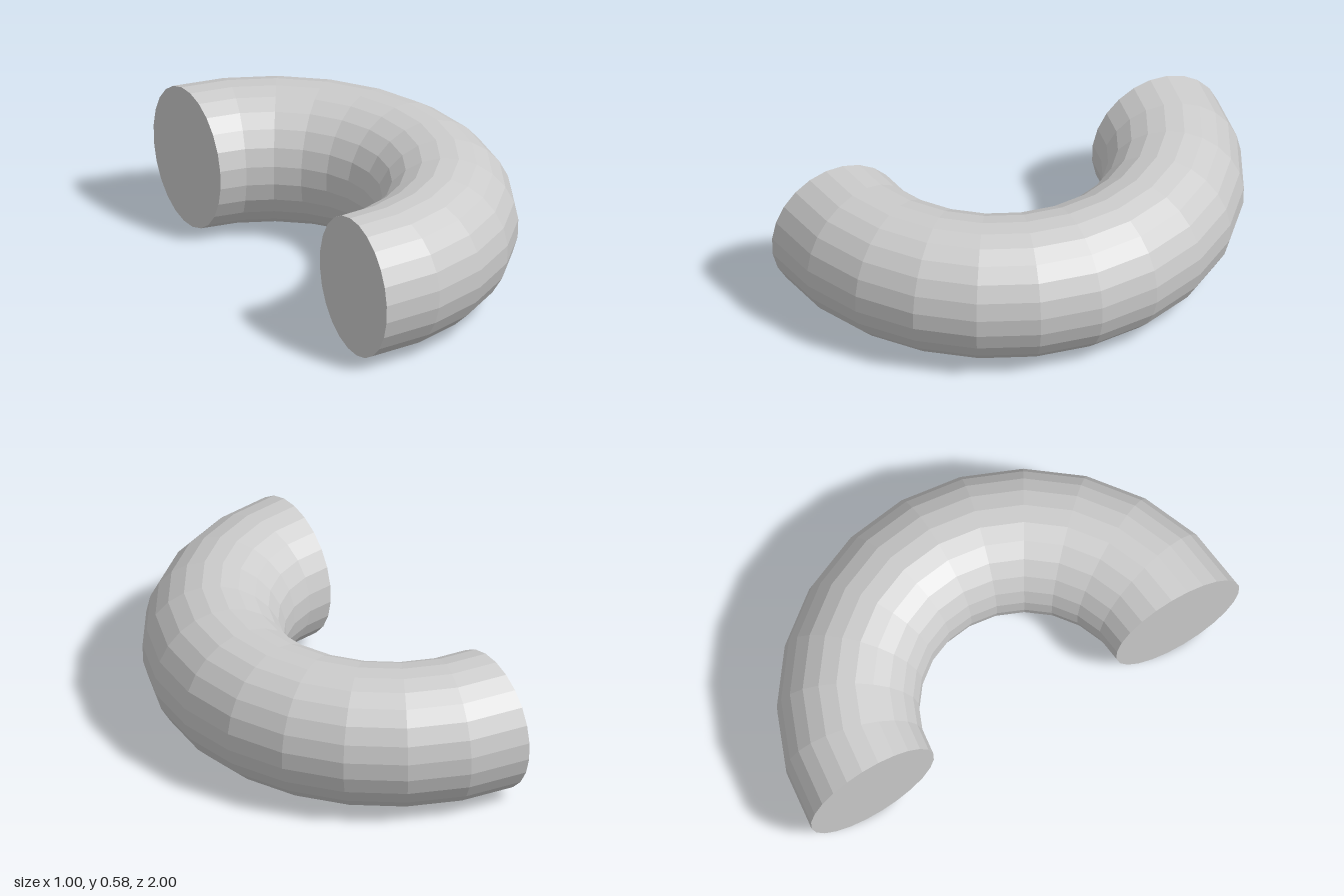
import * as THREE from 'three';

export function createModel() {
  const group = new THREE.Group();
  group.name = 'halfRing';
  const material = new THREE.MeshStandardMaterial({ color: 0xcccccc, flatShading: true });

  // Tube cross-section: 24 sides, slightly taller than wide
  const sides = 24, bendRadius = 0.713, rx = 0.288, ry = 0.2938, tilt = 0.096;
  const section = [];
  for (let i = 0; i <= sides; i++) {
    const a = tilt + (i / sides) * Math.PI * 2;
    section.push(new THREE.Vector2(bendRadius + rx * Math.cos(a), 0.2925 + ry * Math.sin(a)));
  }

  // Bent tube: half a turn in 12 steps
  const tube = new THREE.Mesh(new THREE.LatheGeometry(section, 12, 0, Math.PI), material);
  tube.name = 'bentTube';
  group.add(tube);

  // Flat caps on the two open ends, facing -x
  for (const [name, side] of [['frontEndCap', 1], ['backEndCap', -1]]) {
    const shape = new THREE.Shape(section.slice(0, sides).map(p => new THREE.Vector2(p.x * side, p.y)));
    const cap = new THREE.Mesh(new THREE.ShapeGeometry(shape).rotateY(-Math.PI / 2), material);
    cap.name = name;
    group.add(cap);
  }

  group.position.x = -0.5;
  const root = new THREE.Group();
  root.name = 'model';
  root.add(group);
  return root;
}
